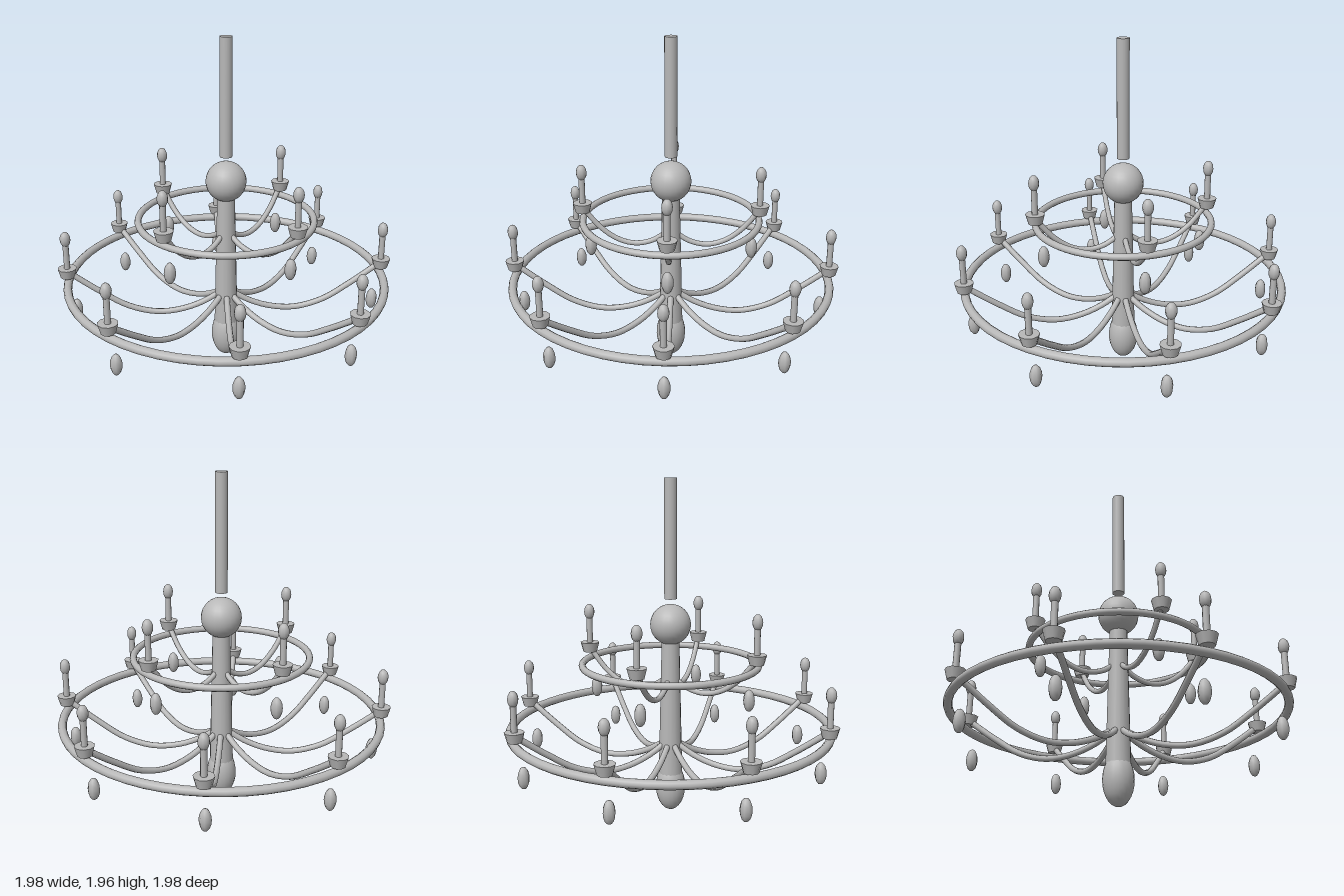
import * as THREE from 'three';

const metal = new THREE.MeshStandardMaterial({ color: 0xb8b8b8 });
metal.name = 'grey metal';

function add(parent, name, geometry, x = 0, y = 0, z = 0) {
  const mesh = new THREE.Mesh(geometry, metal);
  mesh.name = name;
  mesh.position.set(x, y, z);
  parent.add(mesh);
  return mesh;
}

// Ellipsoid with radius r across and h up and down
function egg(r, h, sides, rows) {
  return new THREE.SphereGeometry(1, sides, rows).scale(r, h, r);
}

// One ring of candle arms: the arm path is given as [distance out, height]
function makeTier(t) {
  const tier = new THREE.Group();
  tier.name = t.name;

  const hoop = new THREE.TorusGeometry(t.hoopRadius, t.hoopTube, 10, 56).rotateX(Math.PI / 2);
  add(tier, 'hoop', hoop, 0, t.hoopY, 0);

  const path = new THREE.CatmullRomCurve3(t.arm.map(([x, y]) => new THREE.Vector3(x, y, 0)));
  const armGeo = new THREE.TubeGeometry(path, 24, t.armTube, 8);
  const cupGeo = new THREE.CylinderGeometry(0.056, 0.041, 0.057, 10);
  const candleGeo = new THREE.CylinderGeometry(0.018, 0.018, 0.17, 10);
  const flameGeo = egg(0.031, 0.047, 10, 8);
  const dropGeo = egg(0.034, 0.065, 8, 8);

  for (let i = 0; i < t.count; i++) {
    const branch = new THREE.Group();
    branch.name = 'branch';
    branch.rotation.y = t.start + (i / t.count) * Math.PI * 2;
    add(branch, 'arm', armGeo);
    add(branch, 'candleCup', cupGeo, t.candleRadius, t.cupY, 0);
    add(branch, 'candle', candleGeo, t.candleRadius, t.cupY + 0.1, 0);
    add(branch, 'flame', flameGeo, t.candleRadius, t.cupY + 0.213, 0);
    add(branch, 'crystalDrop', dropGeo, t.dropRadius, t.dropY, 0);
    tier.add(branch);
  }
  return tier;
}

export function createModel() {
  const model = new THREE.Group();
  model.name = 'chandelier';

  // Central stem
  add(model, 'hangingRod', new THREE.CylinderGeometry(0.036, 0.036, 0.68, 16), 0, 1.626, 0);
  add(model, 'topBall', new THREE.SphereGeometry(0.118, 24, 16), 0, 1.137, 0);
  add(model, 'column', new THREE.CylinderGeometry(0.051, 0.071, 0.86, 16), 0, 0.63, 0);
  add(model, 'bottomFinial', egg(0.088, 0.147, 20, 14), 0, 0.15, 0);

  // Wide lower tier with eight candles
  model.add(makeTier({
    name: 'lowerTier', count: 8, start: 0,
    hoopRadius: 0.936, hoopTube: 0.025, hoopY: 0.527,
    arm: [[0.03, 0.43], [0.14, 0.365], [0.27, 0.32], [0.42, 0.308], [0.59, 0.355], [0.75, 0.455], [0.935, 0.59]],
    armTube: 0.018, candleRadius: 0.938, cupY: 0.588, dropRadius: 0.896, dropY: 0.345,
  }));

  // Small upper tier with four candles on the diagonals
  model.add(makeTier({
    name: 'upperTier', count: 4, start: Math.PI / 4,
    hoopRadius: 0.512, hoopTube: 0.02, hoopY: 0.906,
    arm: [[0.03, 0.815], [0.11, 0.765], [0.21, 0.745], [0.31, 0.77], [0.41, 0.84], [0.515, 0.965]],
    armTube: 0.016, candleRadius: 0.515, cupY: 0.968, dropRadius: 0.474, dropY: 0.727,
  }));

  return model;
}
